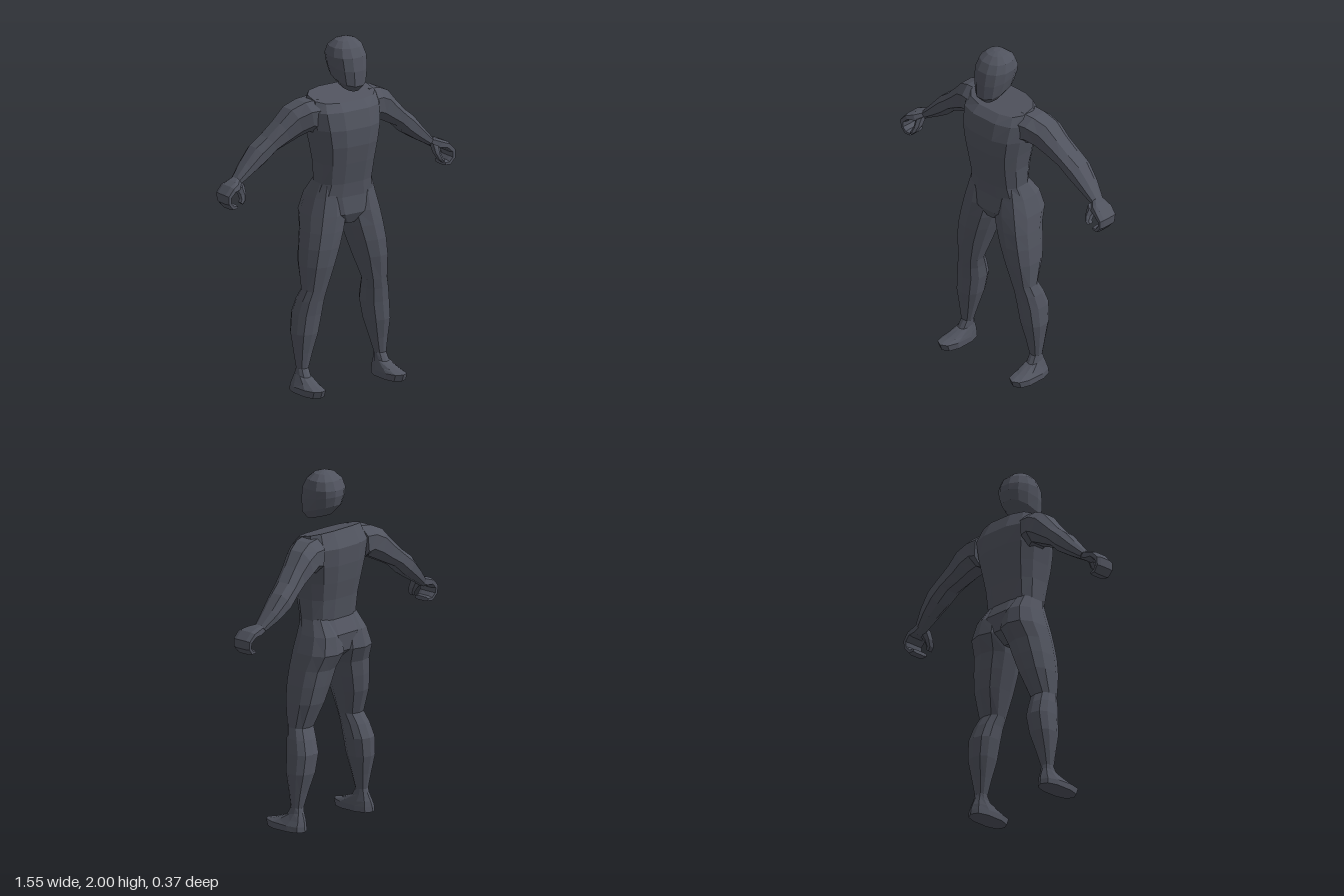
import * as THREE from 'three';

const skin = new THREE.MeshStandardMaterial({ color: 0x50535e, flatShading: true });
skin.name = 'slate grey';

// Lofts a closed skin through rings. Each ring is [ax, ay, bx, by, zBack, zFront, tilt]:
// A and B are its ends in the xy plane, tilt raises the front and lowers the back.
function loft(name, rings, sides, power, mirror = 1) {
  const sup = v => Math.sign(v) * Math.abs(v) ** power;
  const pos = [], idx = [];
  for (const [ax, ay, bx, by, zb, zf, tilt = 0] of rings) {
    for (let i = 0; i < sides; i++) {
      const a = ((i + 0.5) / sides) * Math.PI * 2;
      const c = sup(Math.cos(a)) / sup(Math.cos(Math.PI / sides));
      const s = sup(Math.sin(a)) / (sides % 4 ? 1 : sup(Math.cos(Math.PI / sides)));
      pos.push(
        mirror * ((ax + bx) / 2 + ((bx - ax) / 2) * c),
        (ay + by) / 2 + ((by - ay) / 2) * c + tilt * s,
        (zb + zf) / 2 + ((zf - zb) / 2) * s);
    }
  }
  for (let r = 0; r < rings.length - 1; r++) {
    for (let i = 0; i < sides; i++) {
      const a = r * sides + i, b = r * sides + (i + 1) % sides;
      idx.push(a, b, a + sides, b, b + sides, a + sides);
    }
  }
  // end caps
  const last = (rings.length - 1) * sides;
  for (let i = 1; i < sides - 1; i++) {
    idx.push(0, i + 1, i, last, last + i, last + i + 1);
  }
  // turn the faces outward
  const p = i => new THREE.Vector3().fromArray(pos, i * 3);
  let volume = 0;
  for (let i = 0; i < idx.length; i += 3) {
    volume += p(idx[i]).dot(p(idx[i + 1]).cross(p(idx[i + 2])));
  }
  if (volume < 0) idx.reverse();
  const geo = new THREE.BufferGeometry();
  geo.setAttribute('position', new THREE.Float32BufferAttribute(pos, 3));
  geo.setIndex(idx);
  geo.computeVertexNormals();
  const mesh = new THREE.Mesh(geo, skin);
  mesh.name = name;
  return mesh;
}

// symmetric ring for head and torso
const level = (w, y, zb, zf, tilt) => [-w, y, w, y, zb, zf, tilt];
// ring for a leg, from inner to outer side
const legRing = (inner, outer, y, zb, zf, tilt) => [inner, y, outer, y, zb, zf, tilt];

export function createModel() {
  const model = new THREE.Group();
  model.name = 'figure';

  model.add(loft('head', [
    level(0.05, 1.73, -0.02, 0.12, -0.02),
    level(0.085, 1.78, -0.08, 0.15, -0.035),
    level(0.1, 1.85, -0.095, 0.148, -0.02),
    level(0.105, 1.905, -0.095, 0.135, 0),
    level(0.092, 1.955, -0.075, 0.108, 0),
    level(0.058, 1.988, -0.035, 0.07, 0),
    level(0.02, 2.0, 0, 0.035, 0),
  ], 12, 0.88));

  model.add(loft('torso', [
    level(0.05, 0.94, -0.08, 0.07, 0),
    level(0.15, 1.0, -0.15, 0.1, 0),
    level(0.19, 1.1, -0.16, 0.092, 0),
    level(0.168, 1.18, -0.115, 0.1, 0),
    level(0.175, 1.3, -0.13, 0.125, 0),
    level(0.19, 1.4, -0.15, 0.142, 0),
    level(0.21, 1.5, -0.165, 0.145, 0),
    level(0.22, 1.6, -0.172, 0.122, 0),
    level(0.2, 1.668, -0.125, 0.08, -0.025),
  ], 12, 0.72));

  for (const [side, m] of [['left', 1], ['right', -1]]) {
    // rings run from shoulder to wrist, upper edge to lower edge
    model.add(loft(side + 'Arm', [
      [0.17, 1.665, 0.19, 1.47, -0.15, 0.06],
      [0.25, 1.655, 0.22, 1.485, -0.155, 0.045],
      [0.325, 1.62, 0.27, 1.46, -0.165, 0.015],
      [0.39, 1.55, 0.34, 1.425, -0.165, -0.01],
      [0.465, 1.475, 0.41, 1.39, -0.178, -0.03],
      [0.53, 1.425, 0.475, 1.33, -0.185, -0.042],
      [0.6, 1.345, 0.555, 1.28, -0.17, -0.055],
      [0.668, 1.268, 0.635, 1.235, -0.14, -0.065],
    ], 8, 0.85, m));

    // palm and fingers curl into a loose grip
    model.add(loft(side + 'Hand', [
      [0.66, 1.275, 0.635, 1.235, -0.135, -0.065],
      [0.695, 1.265, 0.668, 1.215, -0.135, -0.03],
      [0.735, 1.248, 0.712, 1.215, -0.135, -0.012],
      [0.773, 1.205, 0.742, 1.19, -0.13, -0.01],
      [0.77, 1.155, 0.743, 1.165, -0.125, -0.01],
      [0.738, 1.118, 0.725, 1.145, -0.12, -0.012],
      [0.7, 1.12, 0.703, 1.142, -0.115, -0.015],
    ], 8, 0.6, m));
    model.add(loft(side + 'Thumb', [
      [0.64, 1.25, 0.685, 1.225, -0.1, -0.03],
      [0.642, 1.2, 0.676, 1.195, -0.07, -0.01],
      [0.655, 1.165, 0.68, 1.172, -0.045, 0.003],
      [0.675, 1.145, 0.69, 1.158, -0.035, 0.003],
    ], 6, 0.8, m));

    // hip to sole, with the lowest rings stretched forward into the foot
    model.add(loft(side + 'Leg', [
      legRing(0.05, 0.165, 1.19, -0.1, 0.07),
      legRing(0.015, 0.197, 1.1, -0.165, 0.085),
      legRing(0.0, 0.228, 1.0, -0.187, 0.1),
      legRing(0.025, 0.245, 0.91, -0.145, 0.105),
      legRing(0.055, 0.26, 0.82, -0.132, 0.107),
      legRing(0.09, 0.27, 0.72, -0.112, 0.1),
      legRing(0.135, 0.272, 0.58, -0.058, 0.075),
      legRing(0.145, 0.29, 0.52, -0.088, 0.065),
      legRing(0.152, 0.305, 0.44, -0.115, 0.055),
      legRing(0.173, 0.315, 0.33, -0.107, 0.047),
      legRing(0.205, 0.305, 0.22, -0.076, 0.025),
      legRing(0.23, 0.295, 0.13, -0.055, 0.012),
      legRing(0.23, 0.3, 0.095, -0.062, 0.04, -0.01),
      legRing(0.222, 0.318, 0.058, -0.08, 0.125, -0.003),
      legRing(0.217, 0.333, 0.035, -0.088, 0.185, 0.005),
      legRing(0.217, 0.333, 0, -0.09, 0.17),
    ], 10, 0.8, m));
  }
  return model;
}
